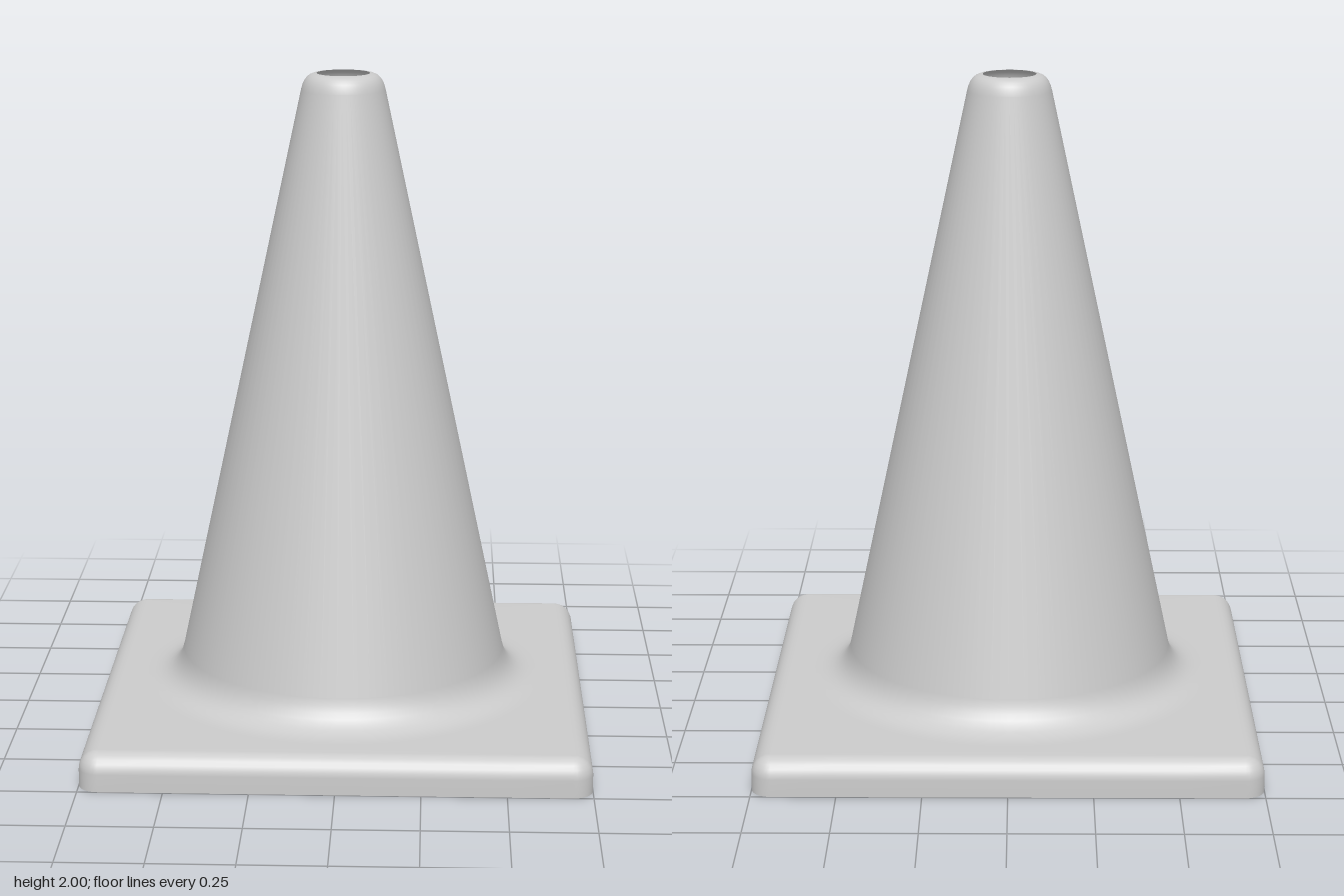
import * as THREE from 'three';

const SIDES = 64;
const HALF = 0.75;      // half width of the base
const CORNER = 0.06;    // rounding of base corners and top edge
const PLATE_Y = 0.11;   // height of the base top
const FOOT_R = 0.64;    // where the cone's foot meets the flat plate

// Rounded-square loop, pulled in by inset, 16 points per quadrant
function squareRing(inset, y) {
  const c = HALF - CORNER, r = CORNER - inset, ring = [];
  for (let q = 0; q < 4; q++) {
    for (let j = 0; j < 16; j++) {
      const a = (Math.min(j, 8) / 8) * Math.PI / 2;
      const slide = Math.max(j - 8, 0) / 8;
      const p = new THREE.Vector2(c * (1 - 2 * slide) + r * Math.cos(a), c + r * Math.sin(a));
      p.rotateAround(new THREE.Vector2(), q * Math.PI / 2);
      ring.push([p.x, y, p.y]);
    }
  }
  return ring;
}

// Circle whose points line up with those of squareRing
function circleRing(radius, y) {
  return Array.from({ length: SIDES }, (_, i) => {
    const a = ((i + 4) / SIDES) * Math.PI * 2;
    return [radius * Math.cos(a), y, radius * Math.sin(a)];
  });
}

// Skin a stack of closed loops
function loft(rings) {
  const index = [];
  for (let k = 0; k < rings.length - 1; k++) {
    for (let i = 0; i < SIDES; i++) {
      const n = (i + 1) % SIDES;
      const a = k * SIDES + i, b = k * SIDES + n;
      const c = a + SIDES, d = b + SIDES;
      index.push(a, c, b, b, c, d);
    }
  }
  const geometry = new THREE.BufferGeometry();
  geometry.setAttribute('position', new THREE.Float32BufferAttribute(rings.flat(2), 3));
  geometry.setIndex(index);
  geometry.computeVertexNormals();
  return geometry;
}

function curvePoints(x0, y0, x1, y1, x2, y2, steps) {
  return new THREE.QuadraticBezierCurve(
    new THREE.Vector2(x0, y0), new THREE.Vector2(x1, y1), new THREE.Vector2(x2, y2)
  ).getPoints(steps);
}

export function createModel() {
  const group = new THREE.Group();
  group.name = 'trafficCone';
  const material = new THREE.MeshStandardMaterial({ color: 0xcccccc, side: THREE.DoubleSide });

  // Hollow square base: skirt, rounded top edge, flat plate with a round opening
  const rings = [squareRing(0, 0)];
  for (let s = 0; s <= 6; s++) {
    const a = (s / 6) * Math.PI / 2, r = CORNER * 0.95;
    rings.push(squareRing(r * (1 - Math.cos(a)), PLATE_Y - r + r * Math.sin(a)));
  }
  rings.push(circleRing(FOOT_R, PLATE_Y));
  const base = new THREE.Mesh(loft(rings), material);
  base.name = 'base';
  group.add(base);

  // Hollow cone: flared foot, straight wall, rounded lip around the top hole
  const profile = [
    new THREE.Vector2(FOOT_R, PLATE_Y),
    ...curvePoints(0.62, PLATE_Y, 0.52, PLATE_Y, 0.5, 0.205, 8),
    ...curvePoints(0.127, 1.95, 0.117, 2, 0.08, 2, 6),
  ];
  const cone = new THREE.Mesh(new THREE.LatheGeometry(profile, SIDES), material);
  cone.name = 'coneBody';
  group.add(cone);

  return group;
}
